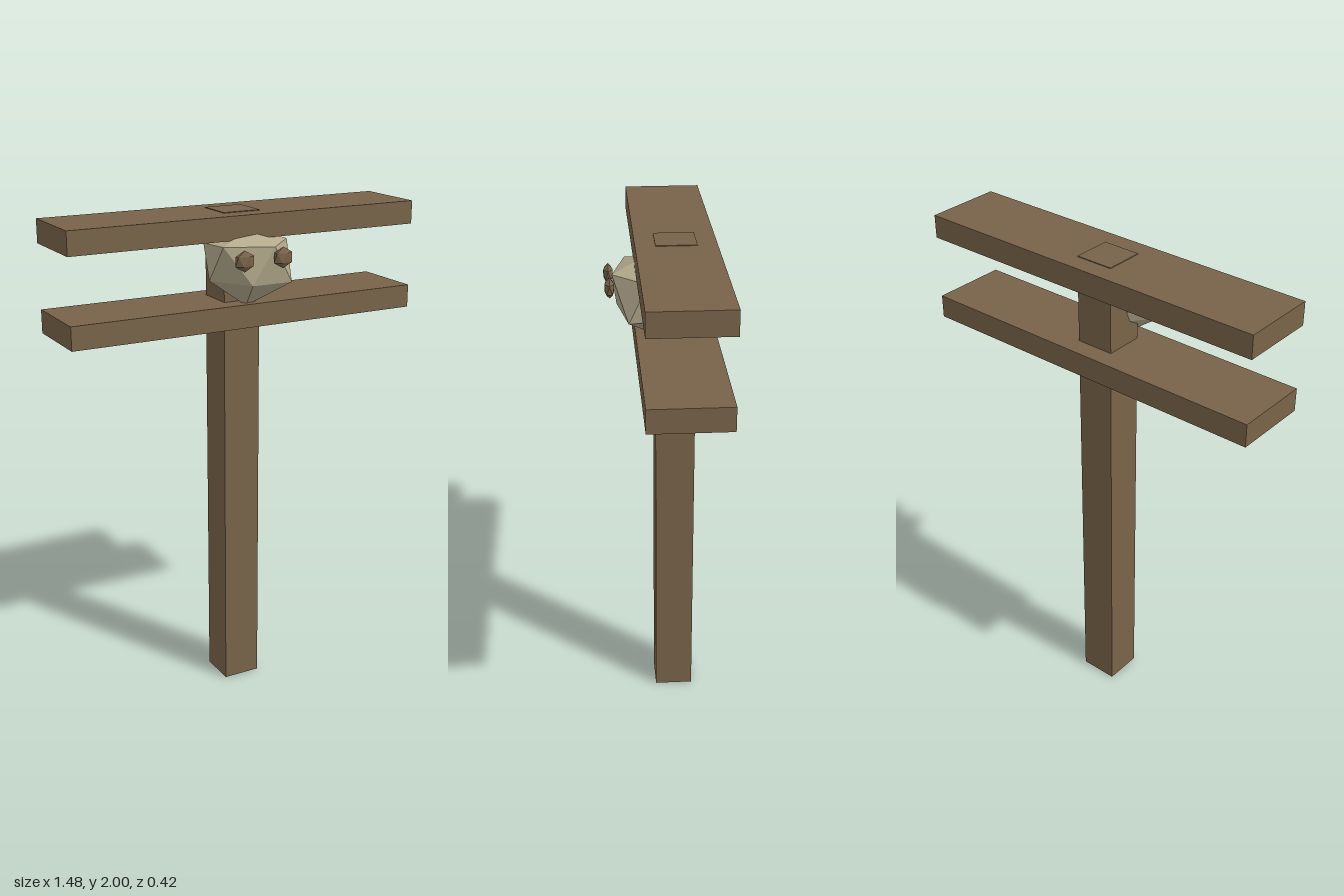
import * as THREE from 'three';
import { ConvexGeometry } from 'three/addons/geometries/ConvexGeometry.js';

const wood = new THREE.MeshStandardMaterial({ color: 0x786349 });
wood.name = 'weathered wood';
const bone = new THREE.MeshStandardMaterial({ color: 0xb5aa8d });
bone.name = 'pale bone';

const hull = (points) => new ConvexGeometry(points.map((p) => new THREE.Vector3(...p)));

// Upright twelve-point faceted ball, with one upper corner towards +x
function facetedBall(rx, ry, rz) {
  const points = [[0, ry, 0], [0, -ry, 0]];
  for (let i = 0; i < 10; i++) {
    const a = (i * Math.PI) / 5;
    const y = i % 2 ? -0.447 : 0.447;
    points.push([0.94 * rx * Math.cos(a), y * ry, rz * Math.sin(a)]);
  }
  return hull(points);
}

export function createModel() {
  const model = new THREE.Group();
  const add = (name, geometry, material, x, y, z) => {
    const mesh = new THREE.Mesh(geometry, material);
    mesh.name = name;
    mesh.position.set(x, y, z);
    model.add(mesh);
  };

  // Upright post and two cross planks
  add('post', new THREE.BoxGeometry(0.155, 2, 0.155), wood, 0, 1, -0.057);
  const plank = new THREE.BoxGeometry(1.48, 0.092, 0.306);
  add('lowerPlank', plank, wood, 0, 1.608, -0.057);
  add('upperPlank', plank, wood, 0, 1.951, -0.057);

  // Uneven faceted head: crown, brow ring, jaw ring, chin
  const head = hull([
    [0.01, 1.94, 0.055],
    [0.18, 1.887, 0.053], [0.055, 1.885, 0.182], [-0.137, 1.89, 0.128],
    [-0.145, 1.885, -0.02], [0.06, 1.89, -0.063],
    [0.163, 1.73, 0.125], [-0.03, 1.74, 0.163], [-0.157, 1.752, 0.05],
    [-0.05, 1.74, -0.05], [0.135, 1.73, -0.05],
    [0, 1.64, 0.053],
  ]);
  add('head', head, bone, 0, 0, 0);

  // Flattened faceted eyes
  const eye = facetedBall(0.042, 0.041, 0.019);
  for (const [name, x] of [['rightEye', -0.082], ['leftEye', 0.083]]) {
    add(name, eye, wood, x, 1.844, 0.192);
  }
  return model;
}
